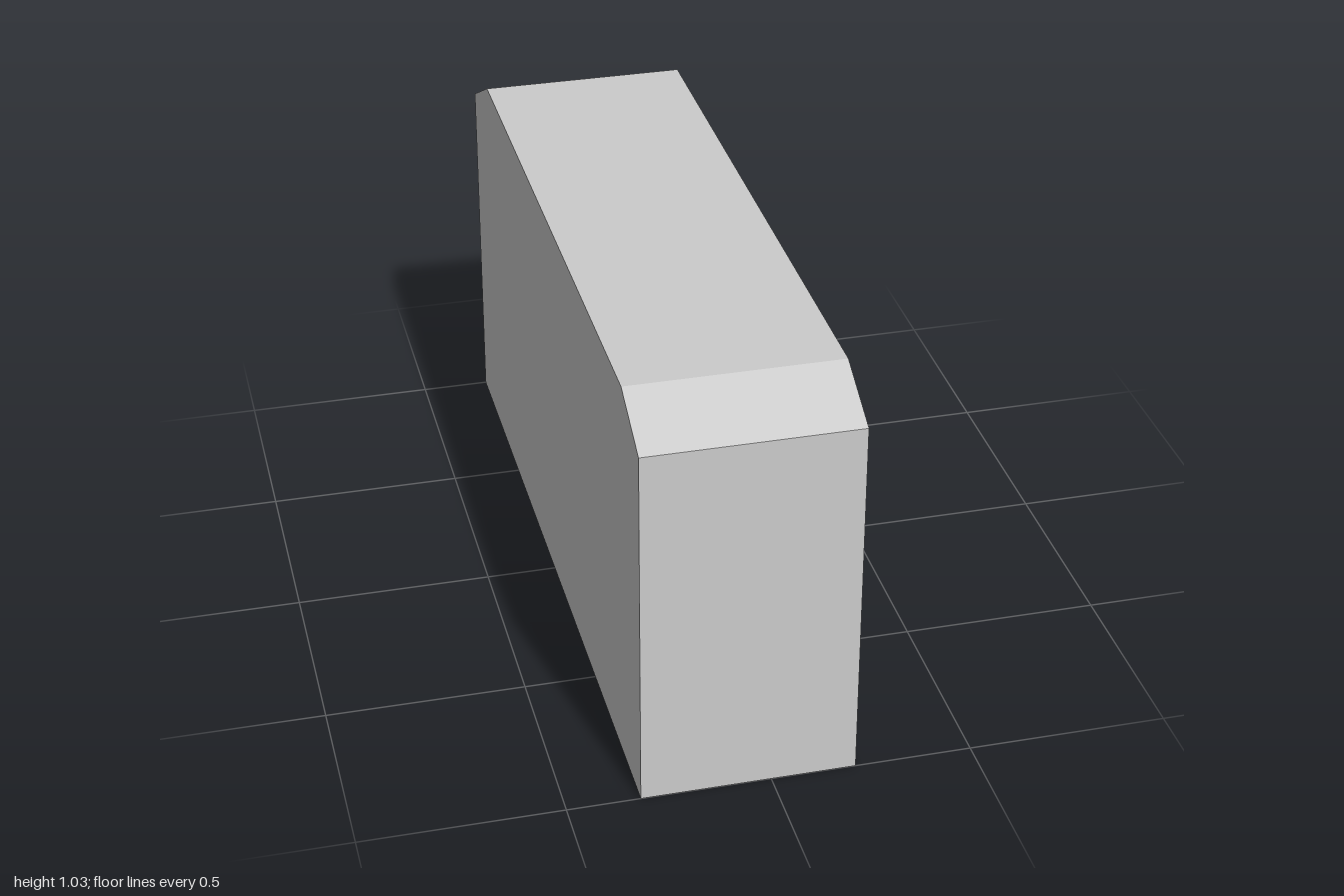
import * as THREE from 'three';

const material = new THREE.MeshStandardMaterial({ color: 0xcccccc, flatShading: true });
const inside = new THREE.MeshStandardMaterial({ color: 0xcccccc, flatShading: true, side: THREE.BackSide });
const FACE = 0.21; // x of the drawer face

function add(parent, name, geometry, mat = material) {
  const mesh = new THREE.Mesh(geometry, mat);
  mesh.name = name;
  parent.add(mesh);
  return mesh;
}

// Hexagonal cross-section lofted outward from the drawer face; its top is left open for the slot
function pullShell(length) {
  const t = 0.093, h = 0.031;
  const ring = (x, w) => [[-w, 0], [-t, h], [t, h], [w, 0], [t, -h], [-t, -h]].map(([z, y]) => [x, y, z]);
  const a = ring(0, 0.097), b = ring(length, 0.12);
  const positions = [];
  const tri = (...points) => points.forEach((p) => positions.push(...p));
  for (let i = 0; i < 6; i++) {
    if (i === 1) continue;
    const j = (i + 1) % 6;
    tri(a[i], a[j], b[j]);
    tri(a[i], b[j], b[i]);
  }
  for (let i = 1; i < 5; i++) tri(b[0], b[i], b[i + 1]);
  const g = new THREE.BufferGeometry();
  g.setAttribute('position', new THREE.Float32BufferAttribute(positions, 3));
  g.computeVertexNormals();
  return g;
}

function makePull(y, length) {
  const pull = new THREE.Group();
  pull.name = 'drawerPull';
  add(pull, 'pullShell', pullShell(length));

  // Top plate with a rectangular slot
  const rect = (C, x0, x1, z) => new C([[x0, -z], [x1, -z], [x1, z], [x0, z]].map((p) => new THREE.Vector2(...p)));
  const top = rect(THREE.Shape, 0, length, 0.093);
  top.holes.push(rect(THREE.Path, 0.05, 0.083, 0.045));
  add(pull, 'pullTop', new THREE.ShapeGeometry(top).rotateX(-Math.PI / 2)).position.y = 0.031;

  // Recess below the slot, seen from inside
  add(pull, 'pullSlot', new THREE.BoxGeometry(0.033, 0.03, 0.09), inside).position.set(0.0665, 0.016, 0);

  pull.position.set(FACE, y, 0);
  return pull;
}

export function createModel() {
  const model = new THREE.Group();
  model.name = 'drawerCabinet';

  // Cabinet body: side profile with chamfered top corners (first value is -z)
  const profile = [[-1, 0], [1, 0], [1, 0.93], [0.8, 1.035], [-0.83, 1.035], [-1, 0.95]];
  const shape = new THREE.Shape(profile.map((p) => new THREE.Vector2(...p)));
  const body = new THREE.ExtrudeGeometry(shape, { depth: 0.53, bevelEnabled: false });
  add(model, 'cabinetBody', body.rotateY(Math.PI / 2).translate(-0.32, 0, 0));

  // Two drawers: barely raised front, thin lip along the top, and a pull
  const drawers = [
    { bottom: 0.52, top: 0.78, pullY: 0.647, pullLength: 0.108 },
    { bottom: 0.135, top: 0.395, pullY: 0.262, pullLength: 0.104 },
  ];
  for (const { bottom, top, pullY, pullLength } of drawers) {
    const drawer = new THREE.Group();
    drawer.name = 'drawer';
    const height = top - bottom;
    add(drawer, 'drawerFront', new THREE.BoxGeometry(0.004, height, 1.5))
      .position.set(FACE, bottom + height / 2, 0);
    add(drawer, 'drawerLip', new THREE.BoxGeometry(0.006, 0.01, 1.5))
      .position.set(FACE, top - 0.005, 0);
    drawer.add(makePull(pullY, pullLength));
    model.add(drawer);
  }
  return model;
}
